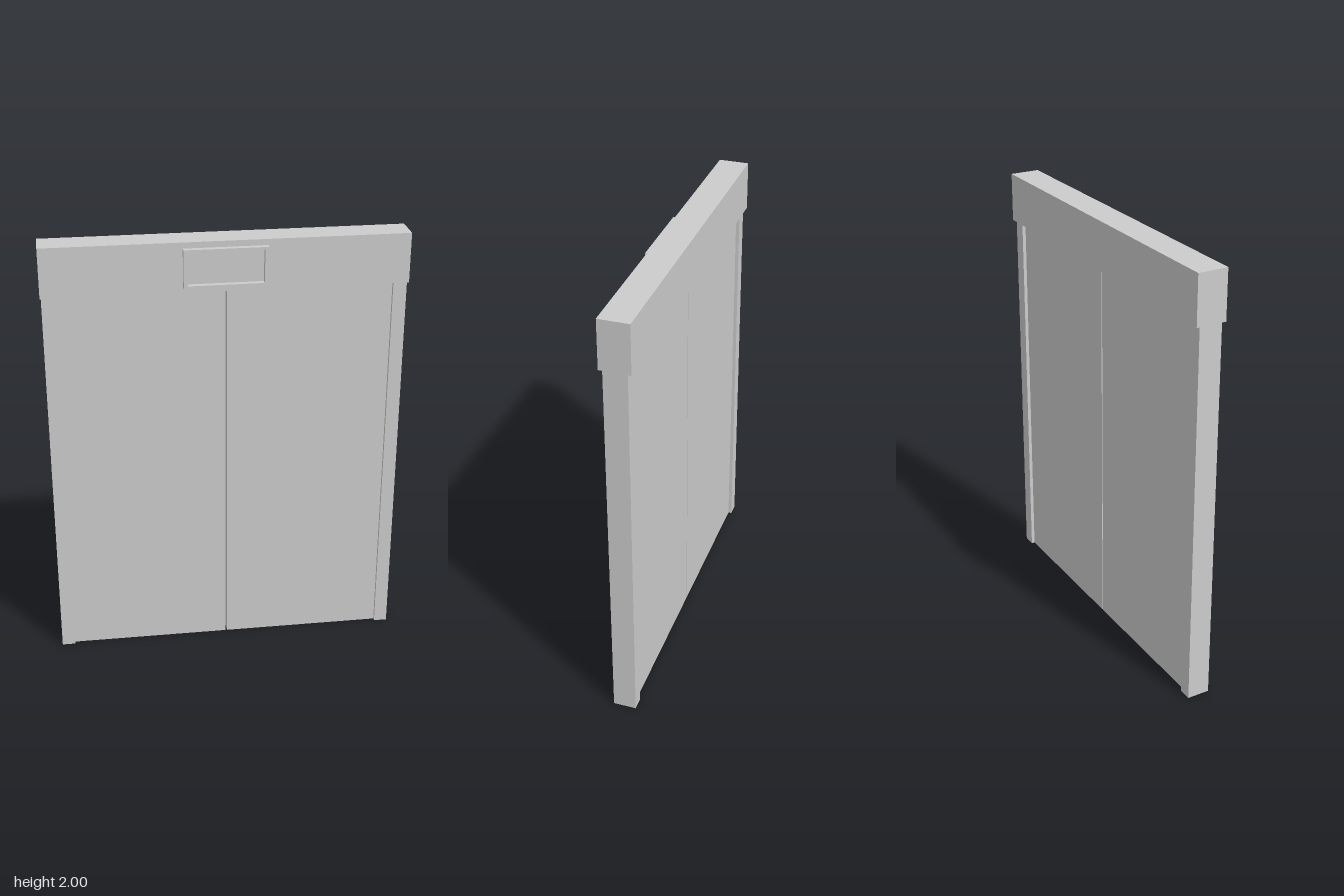
import * as THREE from 'three';

const material = new THREE.MeshStandardMaterial({ color: 0xcccccc, flatShading: true });

// Box given by its [min, max] extents on each axis
function block(name, [x0, x1], [y0, y1], [z0, z1]) {
  const mesh = new THREE.Mesh(new THREE.BoxGeometry(x1 - x0, y1 - y0, z1 - z0), material);
  mesh.position.set((x0 + x1) / 2, (y0 + y1) / 2, (z0 + z1) / 2);
  mesh.name = name;
  return mesh;
}

// Rectangle outline, usable as a shape or as a hole
function rectangle(PathType, x0, y0, x1, y1) {
  const path = new PathType();
  path.moveTo(x0, y0);
  path.lineTo(x1, y0);
  path.lineTo(x1, y1);
  path.lineTo(x0, y1);
  path.closePath();
  return path;
}

export function createModel() {
  const model = new THREE.Group();
  model.name = 'slidingDoor';
  const headerBottom = 1.775, headerFront = 0.056;

  // Header box across the top
  model.add(block('header', [-0.807, 0.807], [headerBottom, 2], [-0.082, headerFront]));

  // Side posts and the two door leaves, with a narrow gap in the middle
  for (const [side, s] of [['left', 1], ['right', -1]]) {
    const span = (a, b) => (s > 0 ? [a, b] : [-b, -a]);
    model.add(block(side + 'Post', span(0.741, 0.802), [0, headerBottom], [-0.065, 0.04]));
    model.add(block(side + 'DoorLeaf', span(0.003, 0.741), [0, headerBottom], [-0.049, 0.024]));
  }

  // Raised display frame on the header, open in the middle
  const outline = rectangle(THREE.Shape, -0.192, 1.8, 0.177, 1.973);
  outline.holes.push(rectangle(THREE.Path, -0.174, 1.812, 0.16, 1.962));
  const frame = new THREE.Mesh(
    new THREE.ExtrudeGeometry(outline, { depth: 0.026, bevelEnabled: false }), material);
  frame.position.z = headerFront;
  frame.name = 'displayFrame';
  model.add(frame);

  return model;
}
